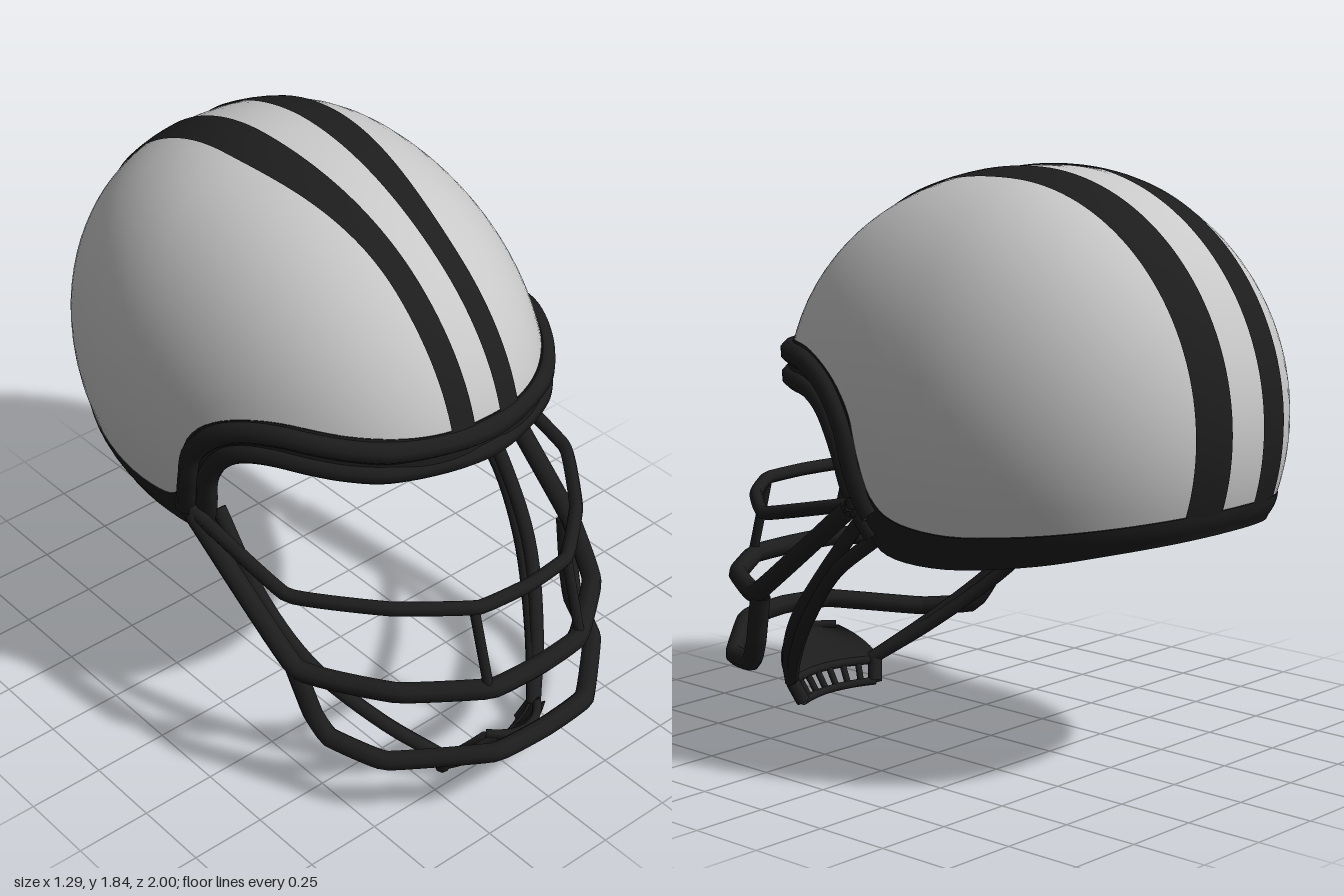
import * as THREE from 'three';

const paint = (name, color) => {
  const m = new THREE.MeshStandardMaterial({ color, side: THREE.DoubleSide });
  m.name = name;
  return m;
};
const V = (x, y, z) => new THREE.Vector3(x, y, z);

// Dome: superellipsoid around this centre, longer at the front than at the back
const CY = 1.1, CZ = -0.25, HALF_W = 0.635, HEIGHT = 0.74, FRONT = 0.93, BACK = 0.75, POWER = 2.3;

function outline(deg, r = 1) {
  const a = THREE.MathUtils.degToRad(deg), c = Math.cos(a);
  return [CZ + r * c * (c > 0 ? FRONT : BACK), CY + r * HEIGHT * Math.sin(a)];
}
function halfWidth(z, y) {
  const dz = (z - CZ) / (z > CZ ? FRONT : BACK), dy = (y - CY) / HEIGHT;
  return HALF_W * Math.pow(Math.max(0, 1 - dz * dz - dy * dy), 1 / POWER);
}
const onDome = (z, y, side, s = 1) =>
  V(side * halfWidth(z, y) * s, CY + (y - CY) * s, CZ + (z - CZ) * s);

// Side-view stations: painted edge (z, y), trim edge (z, y), crown angle
const stations = [
  [...outline(13), ...outline(4), 13],
  [0.5, 1.28, 0.5, 1.155, 30],
  [0.3, 1.285, 0.3, 1.16, 48],
  [0.13, 1.23, 0.17, 1.115, 62],
  [0.02, 1.13, 0.09, 1.0, 72],
  [-0.02, 1.0, 0.055, 0.87, 80],
  [-0.06, 0.88, 0.0, 0.75, 88],
  [-0.15, 0.82, -0.07, 0.69, 95],
  [-0.35, 0.805, -0.3, 0.69, 107],
  [-0.6, 0.83, -0.6, 0.735, 125],
  [-0.8, 0.86, -0.8, 0.78, 150],
  [...outline(196.5), ...outline(203), 196.5],
];
const spline = pts => new THREE.CatmullRomCurve3(pts, false, 'catmullrom', 0.5);
const paintEdge = spline(stations.map(s => V(s[0], s[1], 0)));
const trimEdge = spline(stations.map(s => V(s[2], s[3], 0)));
const crownAngles = stations.map(s => s[4]);
const linerAngles = [4, ...crownAngles.slice(1, -1), 203];
function crown(u, angles) {
  const f = u * (angles.length - 1), i = Math.min(Math.floor(f), angles.length - 2);
  return outline(THREE.MathUtils.lerp(angles[i], angles[i + 1], f - i));
}
const ease = t => (1 - Math.cos(Math.PI * t)) / 2;

// Smooth sheet from a point function of two parameters in 0..1
function sheet(fn, nu, nv) {
  const pos = [], idx = [];
  for (let i = 0; i <= nu; i++)
    for (let j = 0; j <= nv; j++) pos.push(...fn(i / nu, j / nv).toArray());
  for (let i = 0; i < nu; i++)
    for (let j = 0; j < nv; j++) {
      const a = i * (nv + 1) + j, b = a + nv + 1;
      idx.push(a, a + 1, b, b, a + 1, b + 1);
    }
  const g = new THREE.BufferGeometry();
  g.setAttribute('position', new THREE.Float32BufferAttribute(pos, 3));
  g.setIndex(idx);
  g.computeVertexNormals();
  return g;
}
// Full dome skin spanning both sides from an edge curve over the crown
const skin = (edge, angles, s) => sheet((a, b) => {
  const u = ease(a), w = 1 - 2 * b, t = 1 - w * w;
  const e = edge.getPoint(u), [pz, py] = crown(u, angles);
  return onDome(e.x + (pz - e.x) * t, e.y + (py - e.y) * t, Math.sign(w), s);
}, 72, 40);

// Complete a half path by mirroring it across x = 0
const mirrored = half => [
  ...half, ...half.filter(p => p.x > 1e-4).reverse().map(p => V(-p.x, p.y, p.z)),
];
const tube = (pts, r, n = 48) =>
  new THREE.TubeGeometry(new THREE.CatmullRomCurve3(pts, false, 'centripetal'), n, r, 8, false);
// Bent bar: nearly straight runs with tight corners
const bentBar = (pts, r) =>
  new THREE.TubeGeometry(new THREE.CatmullRomCurve3(pts, false, 'catmullrom', 0.15), 80, r, 8, false);
const rod = (a, b, r) => new THREE.TubeGeometry(new THREE.LineCurve3(a, b), 1, r, 8, false);

export function createModel() {
  const silver = paint('shellGrey', 0xc8c8c8);
  const black = paint('trimBlack', 0x1d1d1d);
  const model = new THREE.Group();
  model.name = 'helmet';
  const add = (name, geometry, material = black, parent = model) => {
    const m = new THREE.Mesh(geometry, material);
    m.name = name;
    parent.add(m);
  };

  add('shell', skin(paintEdge, crownAngles, 1), silver);
  add('liner', skin(trimEdge, linerAngles, 0.92));

  // Dark rim band and the lip that joins it to the liner, closed on the centre line
  for (const side of [1, -1]) {
    const onRim = (a, p, s) => onDome(p.x, p.y, a === 0 || a === 1 ? 0 : side, s);
    add('rimBand', sheet((a, b) => {
      const u = ease(a), p = paintEdge.getPoint(u).lerp(trimEdge.getPoint(u), b);
      return onRim(a, p, 1 + 0.008 * Math.sin(Math.PI * Math.min(1, b + 0.15)));
    }, 72, 6));
    add('rimLip', sheet((a, b) => onRim(a, trimEdge.getPoint(ease(a)), 1 - 0.08 * b), 72, 2));
  }

  // Padded rolls around the face opening
  for (const [name, mix, r, s] of [['browRoll', 0.32, 0.036, 1], ['innerRoll', 0.93, 0.033, 0.985]]) {
    const half = [];
    for (let i = 0; i <= 24; i++) {
      const u = 0.56 * (1 - Math.pow(i / 24, 2));
      const p = paintEdge.getPoint(u).lerp(trimEdge.getPoint(u), mix);
      half.push(onDome(p.x, p.y, 1, s));
    }
    half[24].x = 0;
    add(name, tube(mirrored(half), r, 96));
  }

  // Twin stripes, wider towards the back
  for (const side of [1, -1]) {
    add('stripe', sheet((a, b) => {
      const deg = THREE.MathUtils.lerp(12, 197.5, a);
      const k = THREE.MathUtils.smoothstep(-outline(deg)[0], -0.4, 0.3);
      const x = THREE.MathUtils.lerp(0.05 + 0.025 * k, 0.13 + 0.08 * k, b);
      const [z, y] = outline(deg, Math.sqrt(1 - Math.pow(x / HALF_W, POWER)));
      return V(side * x, CY + (y - CY) * 1.007, CZ + (z - CZ) * 1.007);
    }, 72, 4));
  }

  // Face cage
  const cage = new THREE.Group();
  cage.name = 'faceCage';
  model.add(cage);
  const bars = [
    ['upperBar', 0.022, [V(0.605, 0.85, 0.02), V(0.575, 0.76, 0.43), V(0.38, 0.76, 0.68), V(0.18, 0.76, 0.84), V(0, 0.76, 0.86)]],
    ['middleBar', 0.032, [V(0.605, 0.84, 0.02), V(0.575, 0.5, 0.47), V(0.41, 0.49, 0.74), V(0.18, 0.49, 0.91), V(0, 0.49, 0.925)]],
    ['lowerBar', 0.032, [V(0.57, 0.49, 0.46), V(0.545, 0.33, 0.51), V(0.52, 0.25, 0.56), V(0.44, 0.225, 0.73), V(0.19, 0.262, 0.945), V(0, 0.27, 0.967)]],
  ];
  for (const [name, r, half] of bars) add(name, bentBar(mirrored(half), r), black, cage);
  for (const side of [1, -1])
    add('uprightBar', rod(V(side * 0.19, 0.76, 0.83), V(side * 0.19, 0.49, 0.91), 0.016), black, cage);

  // Chin straps: a front and a rear strand on each side
  for (const side of [1, -1]) {
    for (const [off, top] of [[0, 0.82], [-0.04, 0.74]]) {
      add('chinStrap', tube([
        V(side * 0.515, top, 0.03 + off), V(side * 0.515, 0.6, 0.22 + off),
        V(side * 0.465, 0.41, 0.4 + off), V(side * 0.33, 0.22, 0.59 + off * 0.6), V(side * 0.19, 0.085, 0.73),
      ], 0.024, 24));
    }
  }

  // Chin cup: curved plate sloping down and back, with slotted lower edge
  const cup = new THREE.Group();
  cup.name = 'chinCup';
  model.add(cup);
  const rows = new THREE.CatmullRomCurve3([
    V(0.11, 0.205, 0.895), V(0.165, 0.165, 0.865), V(0.2, 0.115, 0.82), V(0.195, 0.08, 0.79),
  ]);
  const cupPoint = (v, k, back = 0) => {
    const p = rows.getPoint(v);
    return V(p.x * k, p.y, p.z - 0.06 * k * k - back);
  };
  for (const back of [0, 0.025])
    add('cupPlate', sheet((a, b) => cupPoint(a, 2 * b - 1, back), 10, 14), black, cup);
  const rim = v => Array.from({ length: 9 }, (_, i) => cupPoint(v, i / 4 - 1, 0.012));
  add('cupTopEdge', tube(rim(0), 0.014, 16), black, cup);
  add('cupLowerEdge', tube(rim(1), 0.015, 16), black, cup);
  const rail = k => V(0.17 * k, 0.014, 0.735 - 0.04 * k * k);
  add('cupRail', tube(Array.from({ length: 9 }, (_, i) => rail(i / 4 - 1)), 0.014, 16), black, cup);
  for (let i = 0; i < 8; i++) {
    const k = (i / 7) * 2 - 1;
    add('cupTooth', rod(cupPoint(1, k, 0.012), rail(k), i % 7 ? 0.011 : 0.024), black, cup);
  }
  return model;
}
